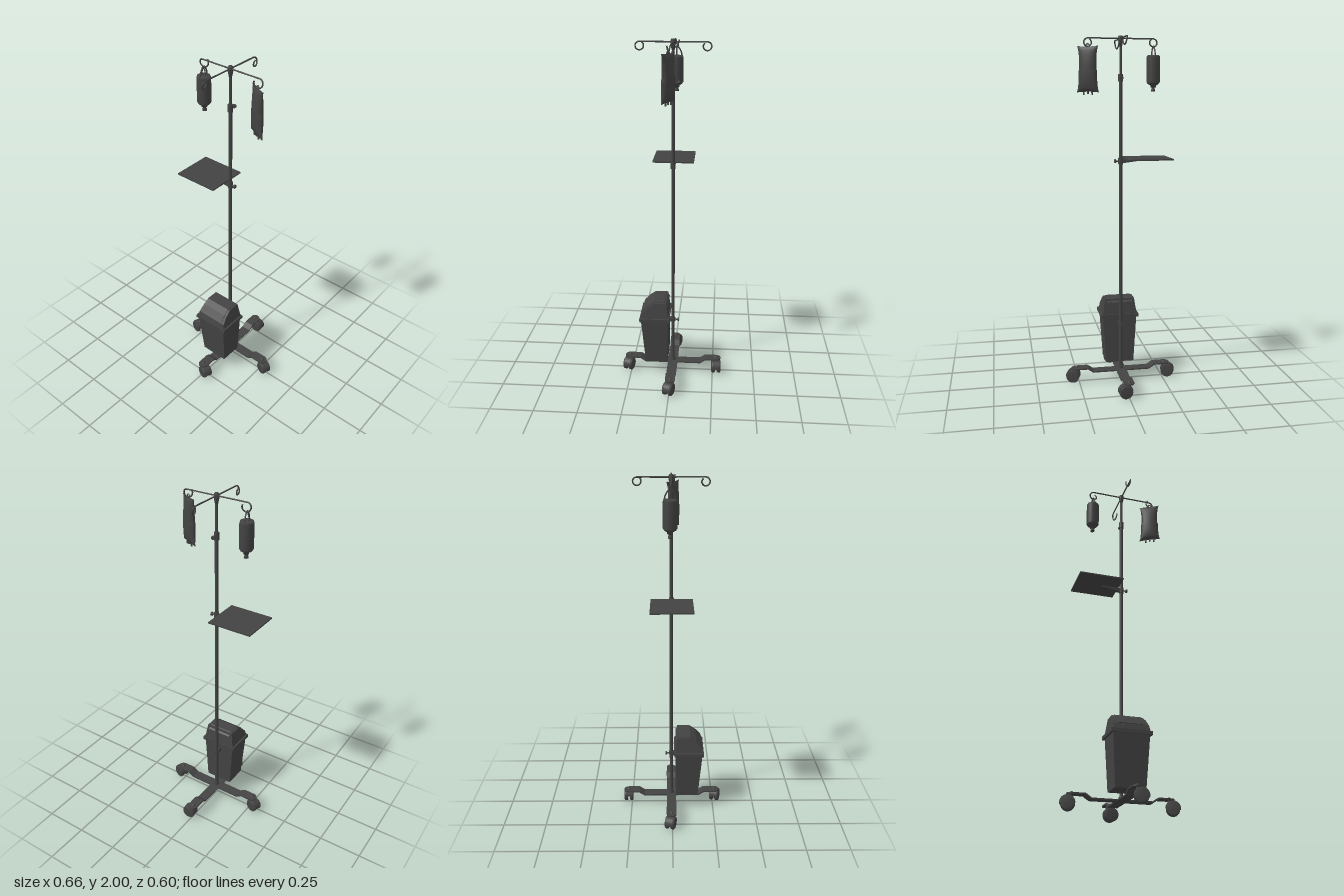
import * as THREE from 'three';
import { ConvexGeometry } from 'three/addons/geometries/ConvexGeometry.js';

const PZ = -0.005; // pole position in z

export function createModel() {
  const root = new THREE.Group();
  root.name = 'dripStand';
  const mat = new THREE.MeshStandardMaterial({ color: 0x434343 });
  const add = (parent, name, geo, x = 0, y = 0, z = 0) => {
    const mesh = new THREE.Mesh(geo, mat);
    mesh.name = name;
    mesh.position.set(x, y, z);
    parent.add(mesh);
    return mesh;
  };
  const group = (parent, name, x = 0, y = 0, z = 0, ry = 0) => {
    const g = new THREE.Group();
    g.name = name;
    g.position.set(x, y, z);
    g.rotation.y = ry;
    parent.add(g);
    return g;
  };
  const cyl = (r0, r1, h, n = 24) => new THREE.CylinderGeometry(r0, r1, h, n);
  const v = (x, y, z) => new THREE.Vector3(x, y, z);
  const lathe = (pts, n) => new THREE.LatheGeometry(pts.map(p => new THREE.Vector2(...p)), n);
  const wire = (pts, r, n = 40) =>
    new THREE.TubeGeometry(new THREE.CatmullRomCurve3(pts.map(p => v(...p))), n, r, 8);
  // Convex solid, mirrored in x, from [halfWidth, y, z] corners
  const hull = corners =>
    new ConvexGeometry(corners.flatMap(([x, y, z]) => [v(x, y, z), v(-x, y, z)]));
  // Clamp collar around the pole with a screw knob pointing along local +x
  const clamp = (name, y, h, r, ry) => {
    const g = group(root, name, 0, y, PZ, ry);
    add(g, 'collar', cyl(r, r, h));
    add(g, 'screw', cyl(0.004, 0.004, 0.022, 12).rotateZ(Math.PI / 2), 0.018);
    add(g, 'knob', cyl(0.011, 0.011, 0.009, 12).rotateZ(Math.PI / 2), 0.031);
  };

  // Pole in two telescoping sections
  add(root, 'lowerPole', cyl(0.01, 0.01, 1.71), 0, 0.92, PZ);
  add(root, 'upperPole', cyl(0.007, 0.007, 0.22), 0, 1.87, PZ);
  clamp('heightClamp', 1.772, 0.042, 0.014, Math.PI / 2);

  // Base: four cranked legs with twin wheel casters
  add(root, 'baseHub', cyl(0.013, 0.016, 0.02), 0, 0.077, PZ);
  const profile = new THREE.Shape([[0, 0.06], [0.168, 0.06], [0.2, 0.082], [0.265, 0.082],
    [0.265, 0.09], [0.197, 0.09], [0.165, 0.068], [0, 0.068]].map(p => new THREE.Vector2(...p)));
  const legGeo = new THREE.ExtrudeGeometry(profile, { depth: 0.058, bevelEnabled: false });
  legGeo.translate(0, 0, -0.029);

  const makeCaster = parent => {
    add(parent, 'stem', cyl(0.008, 0.008, 0.03, 16), 0, 0.078);
    const body = group(parent, 'casterBody', 0.02, 0.04, 0);
    const wheel = [[0, -0.011], [0.033, -0.011], [0.038, -0.007], [0.038, 0.007], [0.033, 0.011], [0, 0.011]];
    for (const s of [-1, 1]) {
      add(body, 'wheel', lathe(wheel, 28).rotateX(Math.PI / 2), 0, 0, s * 0.017);
    }
    add(body, 'axle', cyl(0.008, 0.008, 0.04, 12).rotateX(Math.PI / 2));
    // Hood arching over the wheels
    const hood = new THREE.Shape();
    hood.absarc(0, 0, 0.041, -0.1, Math.PI * 0.95, false);
    hood.absarc(0, 0, 0.03, Math.PI * 0.95, -0.1, true);
    add(body, 'hood', new THREE.ExtrudeGeometry(hood, { depth: 0.036, bevelEnabled: false, curveSegments: 20 }), 0, 0, -0.018);
    add(body, 'fork', new THREE.BoxGeometry(0.022, 0.04, 0.01), -0.008, 0.015);
  };
  // Each caster is swivelled to its own heading (x, z)
  const headings = [[1, 0.35], [1, -0.07], [-1, -0.3], [1, 0.28]];
  headings.forEach(([hx, hz], i) => {
    const a = i * Math.PI / 2;
    const leg = group(root, 'leg', 0, 0, PZ, a);
    add(leg, 'legBar', legGeo);
    add(leg, 'legEnd', cyl(0.029, 0.029, 0.008), 0.265, 0.086);
    add(leg, 'pivotCap', new THREE.SphereGeometry(0.011, 16, 8, 0, Math.PI * 2, 0, Math.PI / 2), 0.265, 0.089);
    makeCaster(group(leg, 'caster', 0.265, 0, 0, Math.atan2(-hz, hx) - a));
  });

  // Waste bin with a sloped swing lid
  const bin = group(root, 'wasteBin');
  add(bin, 'binBody', hull([[0.083, 0.098, 0.022], [0.083, 0.098, 0.155],
    [0.1, 0.38, 0.02], [0.1, 0.38, 0.18]]));
  add(bin, 'binRim', new THREE.BoxGeometry(0.224, 0.02, 0.176), 0, 0.385, 0.1);
  add(bin, 'binLid', hull([[0.102, 0.393, 0.018], [0.102, 0.393, 0.182], [0.097, 0.425, 0.174],
    [0.09, 0.463, 0.141], [0.087, 0.488, 0.105], [0.087, 0.488, 0.03]]));
  // Swing flap standing just proud of the lid's sloped front
  const flap = [[0.078, 0.428, 0.172], [0.076, 0.465, 0.14], [0.074, 0.488, 0.105], [0.074, 0.488, 0.04]];
  add(bin, 'lidFlap', hull(flap.flatMap(([x, y, z]) => [[x, y + 0.003, z + 0.002], [x, y - 0.02, z - 0.02]])));
  clamp('binClamp', 0.345, 0.024, 0.014, Math.PI / 2);
  add(bin, 'binBracket', new THREE.BoxGeometry(0.03, 0.022, 0.03), 0, 0.345, 0.012);

  // Side tray on a tapered bracket
  const tray = group(root, 'tray');
  add(tray, 'trayTop', new THREE.BoxGeometry(0.26, 0.008, 0.235), -0.152, 1.322, -0.003);
  const arm = new THREE.Shape([[0, 1.296], [0, 1.319], [-0.12, 1.319], [-0.12, 1.311]]
    .map(p => new THREE.Vector2(...p)));
  add(tray, 'trayBracket', new THREE.ExtrudeGeometry(arm, { depth: 0.022, bevelEnabled: false }), 0, 0, PZ - 0.011);
  clamp('trayClamp', 1.309, 0.036, 0.014, 0);

  // Four curled hooks on a central hub
  const hub = [[0, 1.94], [0.008, 1.942], [0.014, 1.972], [0.014, 1.992], [0.01, 2], [0, 2]];
  add(root, 'hookHub', lathe(hub, 20), 0, 0, PZ);
  const hookPts = [[0, 1.985, 0], [0.08, 1.985, 0], [0.165, 1.985, 0]];
  for (let i = 0; i <= 10; i++) {
    const t = Math.PI * (0.4 - i * 0.17);
    hookPts.push([0.182 + 0.022 * Math.cos(t), 1.963 + 0.022 * Math.sin(t), 0.022 * i / 10]);
  }
  for (let i = 0; i < 4; i++) {
    add(root, 'hook', wire(hookPts, 0.004, 80), 0, 0, PZ).rotation.y = i * Math.PI / 2;
  }

  // Drip bottle with a strap hanger
  const bottle = group(root, 'dripBottle', -0.184, 0, -0.012, 0.12);
  const bottleProfile = [[0, 1.698], [0.012, 1.698], [0.012, 1.708], [0.009, 1.71], [0.009, 1.718],
    [0.015, 1.72], [0.015, 1.73], [0.03, 1.738], [0.038, 1.75], [0.038, 1.885], [0.034, 1.895], [0, 1.897]];
  add(bottle, 'bottleBody', lathe(bottleProfile, 32));
  add(bottle, 'bottleHanger', wire([[0, 1.892, -0.03], [0, 1.915, -0.025], [0, 1.942, -0.007],
    [0, 1.942, 0.007], [0, 1.915, 0.025], [0, 1.892, 0.03]], 0.004));
  for (const s of [-1, 1]) {
    add(bottle, 'hangerLeg', wire([[0, 1.943, 0], [s * 0.008, 1.92, 0], [s * 0.012, 1.893, 0]], 0.003, 12));
  }

  // Soft fluid bag: a bulged box, fullest below the middle, with flared corners
  const bag = group(root, 'fluidBag', 0.182, 1.818, 0.008, -0.5);
  const bagGeo = new THREE.BoxGeometry(2, 2, 2, 16, 24, 1);
  const p = bagGeo.attributes.position;
  for (let i = 0; i < p.count; i++) {
    const x = p.getX(i), y = p.getY(i), side = p.getZ(i);
    const halfWidth = 0.05 + 0.011 * y ** 4 + (y < 0 ? 0.004 : 0);
    const bulge = Math.sqrt(Math.max(0, (1 - x * x) * (1 - y * y))) * (1 - 0.2 * y);
    p.setXYZ(i, x * halfWidth, y * 0.122 + 0.004 * x * x * y, side * (0.002 + 0.022 * bulge));
  }
  bagGeo.computeVertexNormals();
  add(bag, 'bagBody', bagGeo);
  for (const x of [-0.025, 0, 0.025]) {
    add(bag, 'bagPort', cyl(0.005, 0.005, x ? 0.026 : 0.016, 12), x, -0.127);
  }
  add(bag, 'bagHanger', new THREE.TorusGeometry(0.012, 0.003, 8, 20), 0, 0.125);

  return root;
}
